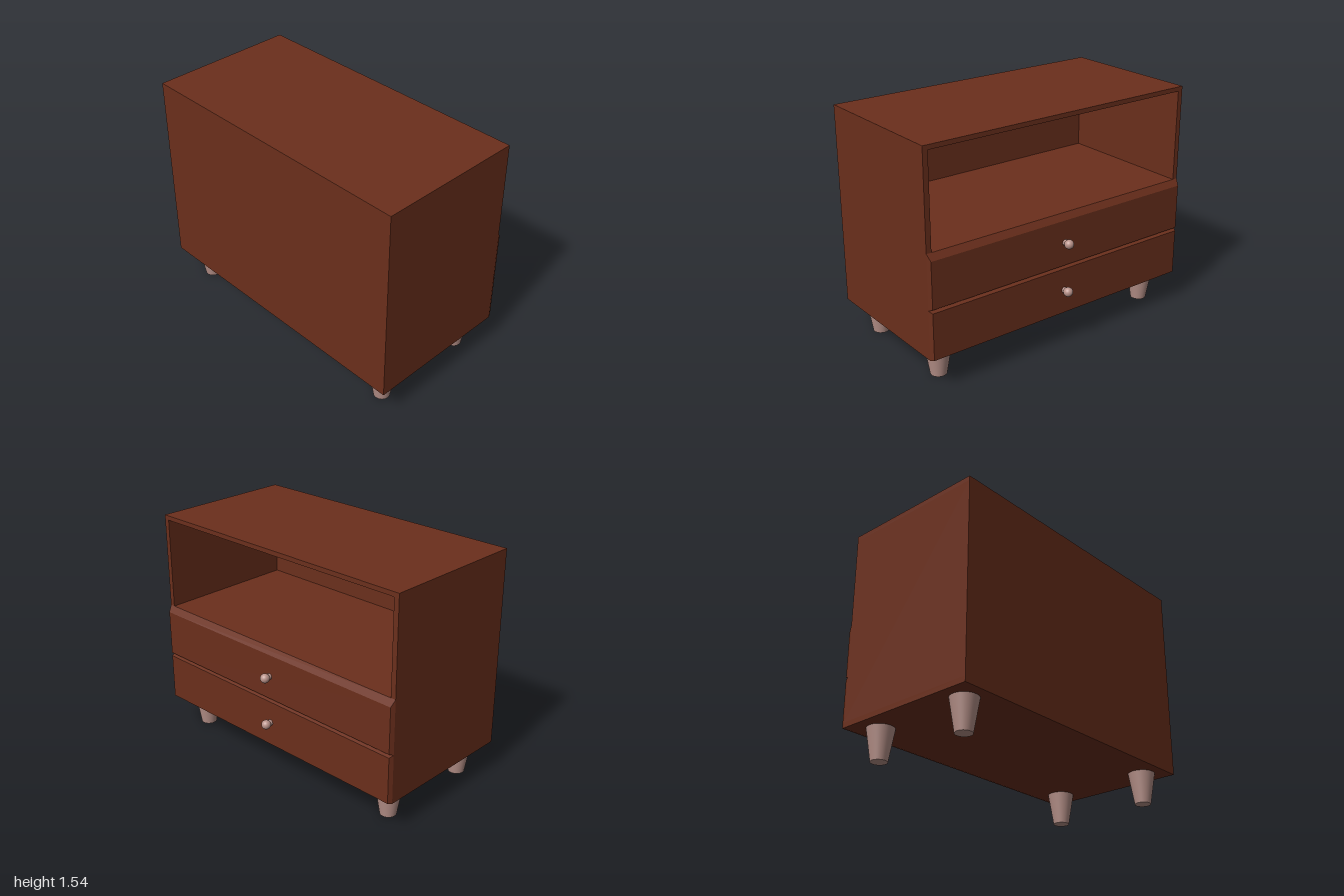
import * as THREE from 'three';

const wood = new THREE.MeshStandardMaterial({ color: 0x6b2f1c });
const paleWood = new THREE.MeshStandardMaterial({ color: 0xb8928a });

function add(parent, name, geometry, material, x = 0, y = 0, z = 0) {
  const mesh = new THREE.Mesh(geometry, material);
  mesh.name = name;
  mesh.position.set(x, y, z);
  parent.add(mesh);
  return mesh;
}

// Box panel given by its extents on each axis
function panel(parent, name, [x0, x1], [y0, y1], [z0, z1]) {
  const g = new THREE.BoxGeometry(x1 - x0, y1 - y0, z1 - z0);
  return add(parent, name, g, wood, (x0 + x1) / 2, (y0 + y1) / 2, (z0 + z1) / 2);
}

// Drawer panel whose outer (-z) face is drawn in to make bevelled edges
function drawerFront(y0, y1, bevelBottom, bevelTop) {
  const back = -0.45, face = -0.478, bevelSide = 0.012;
  const g = new THREE.BoxGeometry(2, y1 - y0, back - face);
  g.translate(0, (y0 + y1) / 2, (back + face) / 2);
  const p = g.attributes.position;
  for (let i = 0; i < p.count; i++) {
    if (p.getZ(i) > (back + face) / 2) continue;
    p.setX(i, p.getX(i) - Math.sign(p.getX(i)) * bevelSide);
    p.setY(i, p.getY(i) > (y0 + y1) / 2 ? y1 - bevelTop : y0 + bevelBottom);
  }
  const flat = g.toNonIndexed();
  flat.computeVertexNormals();
  return flat;
}

export function createModel() {
  const model = new THREE.Group();
  model.name = 'nightstand';

  // Cabinet shell, open above the drawers
  const t = 0.035, bottom = 0.21, top = 1.54, zOpen = -0.45, zWall = 0.55;
  const cabinet = new THREE.Group();
  cabinet.name = 'cabinet';
  model.add(cabinet);
  const inner = [-1 + t, 1 - t];
  panel(cabinet, 'topPanel', [-1, 1], [top - 0.03, top], [zOpen, zWall]);
  panel(cabinet, 'bottomPanel', [-1, 1], [bottom, bottom + t], [zOpen, zWall]);
  panel(cabinet, 'leftSide', [1 - t, 1], [bottom + t, top - 0.03], [zOpen, zWall]);
  panel(cabinet, 'rightSide', [-1, -1 + t], [bottom + t, top - 0.03], [zOpen, zWall]);
  panel(cabinet, 'closedWall', inner, [bottom + t, top - 0.03], [zWall - 0.03, zWall]);
  panel(cabinet, 'shelf', inner, [0.86, 0.9], [zOpen, zWall - 0.03]);

  // Drawers, each with a small round knob
  const drawers = [
    { name: 'lowerDrawer', y0: 0.21, y1: 0.54, low: 0.008, high: 0.012, knobY: 0.38 },
    { name: 'upperDrawer', y0: 0.54, y1: 0.9, low: 0.012, high: 0.042, knobY: 0.71 },
  ];
  for (const d of drawers) {
    const drawer = new THREE.Group();
    drawer.name = d.name;
    model.add(drawer);
    add(drawer, 'drawerFront', drawerFront(d.y0, d.y1, d.low, d.high), wood);
    const stem = new THREE.CylinderGeometry(0.017, 0.021, 0.04, 24);
    stem.rotateX(-Math.PI / 2);
    add(drawer, 'knobStem', stem, paleWood, 0, d.knobY, -0.49);
    add(drawer, 'knob', new THREE.SphereGeometry(0.031, 32, 20), paleWood, 0, d.knobY, -0.517);
  }

  // Tapered legs
  const legShape = new THREE.CylinderGeometry(0.088, 0.053, bottom, 40);
  for (const x of [-0.845, 0.845]) {
    for (const z of [-0.295, 0.395]) add(model, 'leg', legShape, paleWood, x, bottom / 2, z);
  }
  return model;
}
